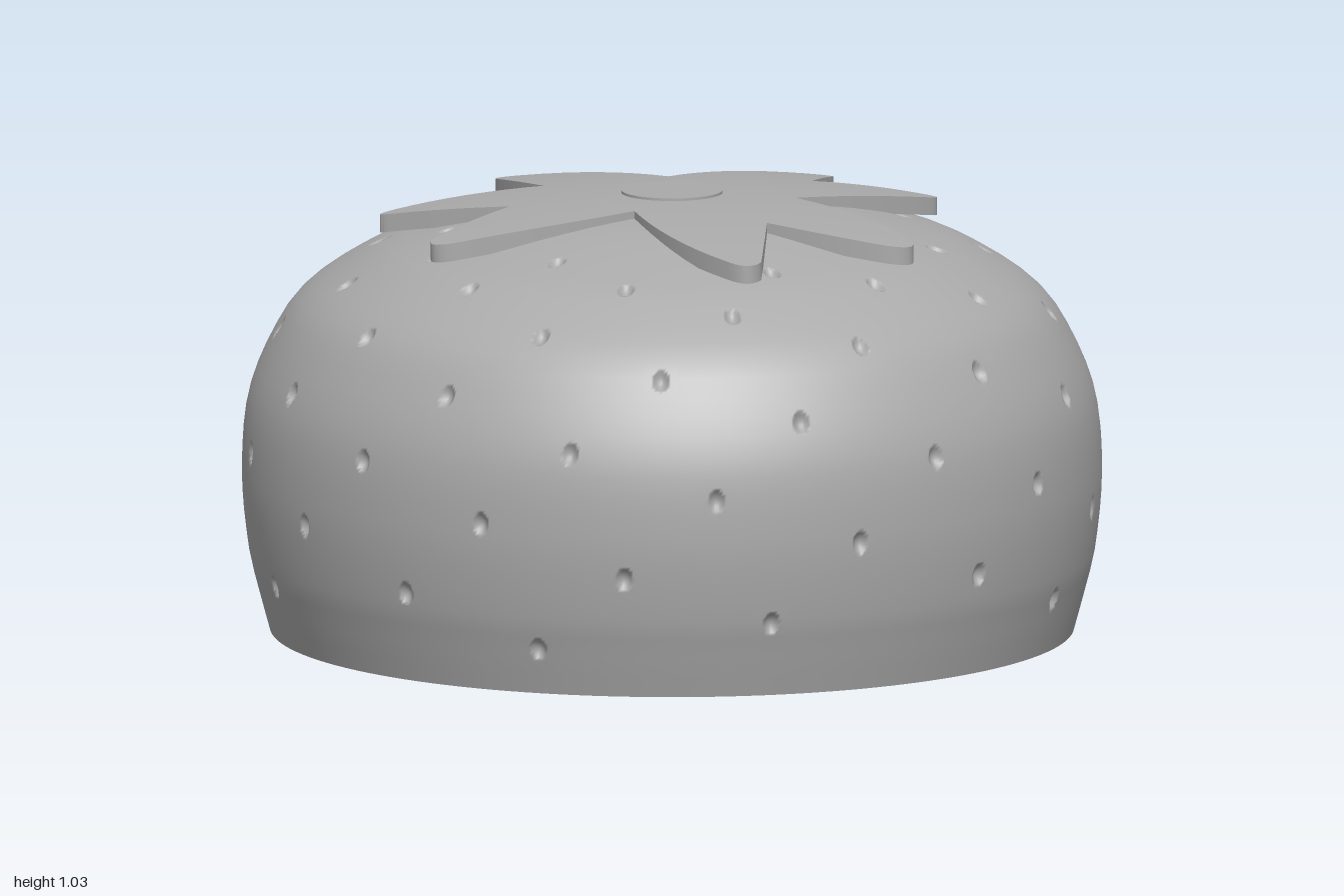
import * as THREE from 'three';
import { toCreasedNormals } from 'three/addons/utils/BufferGeometryUtils.js';

const grey = new THREE.MeshStandardMaterial({ color: 0xaaaaaa });
grey.name = 'grey';

// Outer profile of the berry as (radius, height), from the rim to the crown
const profile = new THREE.SplineCurve([
  [0.935, 0], [0.962, 0.1], [0.985, 0.2], [1, 0.37], [0.985, 0.55], [0.925, 0.7], [0.85, 0.8],
  [0.71, 0.89], [0.6, 0.93], [0.4, 0.98], [0.23, 1.003], [0, 1.01],
].map(([r, y]) => new THREE.Vector2(r, y)));
profile.arcLengthDivisions = 400;
const LENGTH = profile.getLength();
const at = (s) => profile.getPointAt(THREE.MathUtils.clamp(s / LENGTH, 0, 1));

function surfacePoint(theta, s) {
  const p = at(s);
  return new THREE.Vector3(p.x * Math.sin(theta), p.y, p.x * Math.cos(theta));
}

// Seed pits follow a golden-angle spiral; heights are read along these nodes
const HEIGHTS = [[-40, 0.957], [-34, 0.945], [-21, 0.89], [-13, 0.82], [-8, 0.775], [0, 0.68],
  [13, 0.51], [21, 0.4], [34, 0.215], [44, 0.08]];
const SEED_W = 0.02, SEED_H = 0.028, SEED_DEPTH = 0.016;

function makeSeeds() {
  const samples = Array.from({ length: 801 }, (_, i) => ({ s: (i / 800) * LENGTH, p: at((i / 800) * LENGTH) }));
  const seeds = [];
  for (let k = -38; k <= 44; k++) {
    const n = HEIGHTS.findIndex(([end]) => end >= k);
    const [k0, y0] = HEIGHTS[n - 1], [k1, y1] = HEIGHTS[n];
    const y = THREE.MathUtils.mapLinear(k, k0, k1, y0, y1);
    const { s, p } = samples.find((q) => q.p.y >= y);
    seeds.push({ theta: k * Math.PI * (3 - Math.sqrt(5)), s, r: p.x });
  }
  return seeds;
}

const wrap = (a) => a - 2 * Math.PI * Math.round(a / (2 * Math.PI));

function pitDepth(seeds, theta, s) {
  let depth = 0;
  for (const q of seeds) {
    const d = Math.hypot((wrap(theta - q.theta) * q.r) / SEED_W, (s - q.s) / SEED_H);
    if (d < 1) depth = Math.max(depth, SEED_DEPTH * (1 - d * d));
  }
  return depth;
}

// Grid around the berry; cells that hold a pit are divided finer and pushed in
function berryGeometry() {
  const COLS = 144, ROWS = 36, FINE = 7;
  const dT = (2 * Math.PI) / COLS, dS = LENGTH / ROWS;
  const allSeeds = makeSeeds();
  const positions = [], normals = [], index = [];
  for (let j = 0; j < ROWS; j++) {
    for (let i = 0; i < COLS; i++) {
      const t0 = i * dT, s0 = j * dS;
      const seeds = allSeeds.filter((q) =>
        Math.abs(wrap(t0 + dT / 2 - q.theta)) < dT / 2 + SEED_W / q.r &&
        Math.abs(s0 + dS / 2 - q.s) < dS / 2 + SEED_H);
      const n = seeds.length ? FINE : 1, base = positions.length / 3;
      const [a, b, c, d] = [[0, 0], [1, 0], [0, 1], [1, 1]].map(([u, v]) => surfacePoint(t0 + u * dT, s0 + v * dS));
      for (let v = 0; v <= n; v++) {
        for (let u = 0; u <= n; u++) {
          const theta = t0 + (u / n) * dT, s = s0 + (v / n) * dS, e = 0.002;
          const p = a.clone().lerp(b, u / n).lerp(c.clone().lerp(d, u / n), v / n);
          const tan = at(s + e).sub(at(s - e)).normalize();
          const sin = Math.sin(theta), cos = Math.cos(theta);
          const normal = new THREE.Vector3(tan.y * sin, -tan.x, tan.y * cos);
          p.addScaledVector(normal, -pitDepth(seeds, theta, s));
          if (n > 1) {
            const r = at(s).x;
            const gT = (pitDepth(seeds, theta + e / r, s) - pitDepth(seeds, theta - e / r, s)) / (2 * e);
            const gS = (pitDepth(seeds, theta, s + e) - pitDepth(seeds, theta, s - e)) / (2 * e);
            normal.addScaledVector(new THREE.Vector3(cos, 0, -sin), gT);
            normal.addScaledVector(new THREE.Vector3(tan.x * sin, tan.y, tan.x * cos), gS).normalize();
          }
          positions.push(p.x, p.y, p.z);
          normals.push(normal.x, normal.y, normal.z);
          if (u < n && v < n) {
            const k = base + v * (n + 1) + u, up = k + n + 1;
            index.push(k, k + 1, up + 1, k, up + 1, up);
          }
        }
      }
    }
  }
  const g = new THREE.BufferGeometry();
  g.setAttribute('position', new THREE.Float32BufferAttribute(positions, 3));
  g.setAttribute('normal', new THREE.Float32BufferAttribute(normals, 3));
  g.setIndex(index);
  return g;
}

// Leaves as seen from above (x, z): bend, tip start, tip, tip end, bend, next notch
const FIRST_NOTCH = [-0.145, -0.2];
const LEAVES = [
  [[-0.155, -0.45], [-0.06, -0.64], [-0.02, -0.7], [0.02, -0.64], [0.065, -0.53], [0.11, -0.42]],
  [[0.19, -0.54], [0.3, -0.58], [0.36, -0.61], [0.355, -0.55], [0.34, -0.4], [0.25, -0.145]],
  [[0.5, -0.125], [0.63, -0.05], [0.71, 0], [0.64, 0.05], [0.53, 0.11], [0.355, 0.13]],
  [[0.43, 0.25], [0.515, 0.39], [0.525, 0.455], [0.45, 0.44], [0.25, 0.41], [0.05, 0.23]],
  [[-0.02, 0.41], [-0.21, 0.595], [-0.27, 0.64], [-0.288, 0.56], [-0.28, 0.4], [-0.265, 0.28]],
  [[-0.42, 0.315], [-0.57, 0.335], [-0.62, 0.345], [-0.585, 0.28], [-0.5, 0.14], [-0.34, 0.03]],
  [[-0.5, -0.06], [-0.61, -0.17], [-0.67, -0.25], [-0.59, -0.25], [-0.37, -0.26], FIRST_NOTCH],
];

function calyxGeometry() {
  const path = new THREE.Path().moveTo(...FIRST_NOTCH);
  for (const [b0, t0, tip, t1, b1, notch] of LEAVES) {
    path.quadraticCurveTo(...b0, ...t0).quadraticCurveTo(...tip, ...t1).quadraticCurveTo(...b1, ...notch);
  }
  const outline = path.getPoints(8).slice(0, -1), n = outline.length;
  // Rings run out over the domed top, down the edge and back underneath
  const RINGS = 8, rings = [];
  for (let k = 0; k <= RINGS; k++) rings.push([k / RINGS, 0]);
  for (let k = RINGS; k >= 0; k--) rings.push([k / RINGS, 0.042]);
  const positions = [], index = [];
  rings.forEach(([scale, drop], j) => outline.forEach((p, i) => {
    const x = p.x * scale, z = p.y * scale;
    positions.push(x, 1.028 - 0.14 * (x * x + z * z) - drop, z);
    if (j < rings.length - 1) {
      const a = j * n + i, b = j * n + ((i + 1) % n);
      index.push(a, b, a + n, b, b + n, a + n);
    }
  }));
  const g = new THREE.BufferGeometry();
  g.setAttribute('position', new THREE.Float32BufferAttribute(positions, 3));
  g.setIndex(index);
  return toCreasedNormals(g, 0.6);
}

const lathe = (points) => new THREE.LatheGeometry(points.map(([r, y]) => new THREE.Vector2(r, y)), 144);

export function createModel() {
  const model = new THREE.Group();
  const add = (name, geometry) => {
    const mesh = new THREE.Mesh(geometry, grey);
    mesh.name = name;
    model.add(mesh);
    return mesh;
  };
  add('berryBody', berryGeometry());
  // Conical hollow and the flat rim around its mouth
  add('hollow', lathe([[0, 0.85], [0.886, 0]]));
  add('bottomRim', lathe([[0.886, 0], [0.935, 0]]));
  add('leafCrown', calyxGeometry());
  // Low stub where the stem was
  add('stemStub', new THREE.CylinderGeometry(0.118, 0.118, 0.05, 48)).position.y = 1.007;
  return model;
}
